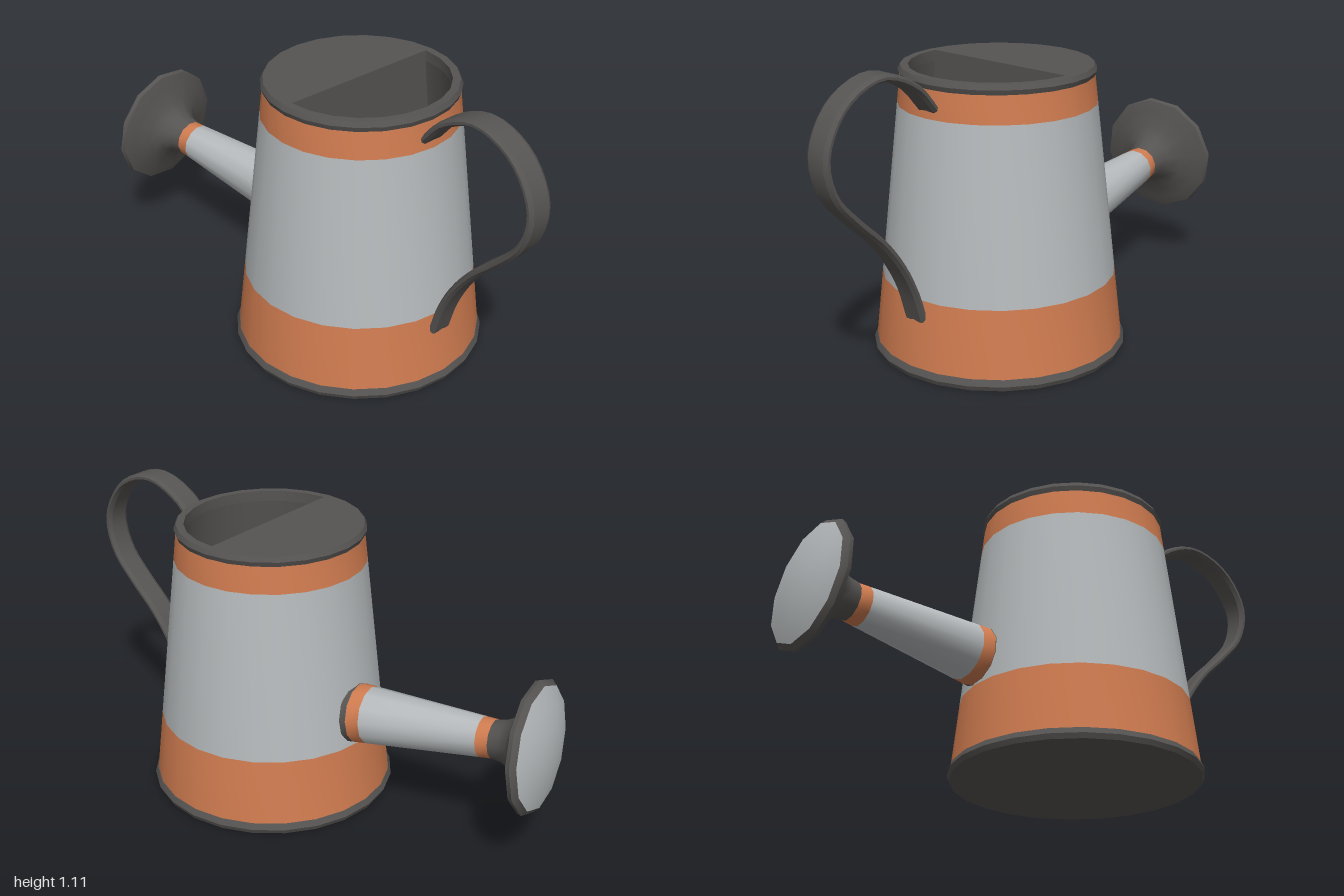
import * as THREE from 'three';
import { toCreasedNormals } from 'three/addons/utils/BufferGeometryUtils.js';

const material = (color) => new THREE.MeshStandardMaterial({ color, side: THREE.DoubleSide });
const ORANGE = material(0xd07c50);
const METAL = material(0xb6babc);
const DARK = material(0x565452);

const CREASE = 0.65;

function add(parent, name, geometry, mat) {
  const mesh = new THREE.Mesh(geometry, mat);
  mesh.name = name;
  parent.add(mesh);
  return mesh;
}

// Turned part: points are [radius, height], running upwards on the outside
function turned(points, sides) {
  const profile = points.map(([r, y]) => new THREE.Vector2(r, y));
  return toCreasedNormals(new THREE.LatheGeometry(profile, sides), CREASE);
}

function buildBody() {
  const body = new THREE.Group();
  body.name = 'body';
  body.position.x = 0.168;
  const SIDES = 24;
  const radiusAt = (y) => 0.454 - 0.108 * (y - 0.04) / 0.97;

  // Tapered wall in painted bands
  const bands = [
    ['lowerBand', 0.03, 0.285, ORANGE],
    ['middleWall', 0.285, 0.915, METAL],
    ['upperBand', 0.915, 1.015, ORANGE],
  ];
  for (const [name, y0, y1, mat] of bands) {
    add(body, name, turned([[radiusAt(y0), y0], [radiusAt(y1), y1]], SIDES), mat);
  }

  // Base with its foot ring, and the rim at the mouth
  add(body, 'base', turned([[0, 0], [0.458, 0], [0.466, 0.018], [0.456, 0.04], [0.44, 0.04], [0, 0.04]], SIDES), DARK);
  add(body, 'rim', turned([[0.315, 1.01], [0.344, 1.01], [0.352, 1.032], [0.343, 1.05], [0.315, 1.05], [0.315, 1.01]], SIDES), DARK);

  // Inner wall, facing inwards
  add(body, 'innerWall', turned([[0.315, 1.012], [0.43, 0.04]], SIDES), DARK);

  // Half lid over the spout side, with the partition below its straight edge
  const lid = add(body, 'halfLid', new THREE.CylinderGeometry(0.318, 0.318, 0.02, SIDES / 2, 1, false, Math.PI, Math.PI), DARK);
  lid.position.y = 1.04;
  const wall = new THREE.Shape([[-0.43, 0.04], [0.43, 0.04], [0.315, 1.05], [-0.315, 1.05]].map(([x, y]) => new THREE.Vector2(x, y)));
  add(body, 'partition', new THREE.ShapeGeometry(wall).rotateY(Math.PI / 2), DARK);
  return body;
}

function buildSpout() {
  const spout = new THREE.Group();
  spout.name = 'spout';
  const axis = new THREE.Vector3(-0.7, 0.068, 0.092).normalize();
  spout.position.set(-0.24, 0.398, 0);
  spout.quaternion.setFromUnitVectors(new THREE.Vector3(0, 1, 0), axis);
  const SIDES = 12;
  const radiusAt = (t) => 0.111 - 0.041 * t / 0.545;

  // Tapered pipe in painted bands
  const bands = [
    ['spoutCollar', -0.015, 0.008, DARK],
    ['spoutLowerBand', 0.008, 0.058, ORANGE],
    ['spoutPipe', 0.058, 0.5, METAL],
    ['spoutUpperBand', 0.5, 0.545, ORANGE],
  ];
  for (const [name, t0, t1, mat] of bands) {
    add(spout, name, turned([[radiusAt(t0), t0], [radiusAt(t1), t1]], SIDES), mat);
  }

  // Flared sprinkler head and its domed face
  add(spout, 'sprinklerHead', turned([
    [0.07, 0.545], [0.076, 0.585], [0.094, 0.622], [0.135, 0.65],
    [0.195, 0.668], [0.236, 0.684], [0.241, 0.7], [0.222, 0.718],
  ], SIDES), DARK);
  add(spout, 'sprinklerFace', turned([[0.222, 0.718], [0.16, 0.738], [0.08, 0.752], [0, 0.757]], SIDES), METAL);
  return spout;
}

function buildHandle() {
  // Flat strap with chamfered edges swept along a looping curve
  const path = new THREE.CatmullRomCurve3([
    [0.505, 0.945], [0.595, 1.04], [0.735, 1.096], [0.865, 1.057], [0.945, 0.975], [0.983, 0.865],
    [0.95, 0.74], [0.862, 0.638], [0.757, 0.537], [0.677, 0.43], [0.622, 0.32], [0.588, 0.21],
  ].map(([x, y]) => new THREE.Vector3(x, y, 0)));
  const w = 0.051, t = 0.014, c = 0.015;
  const section = new THREE.Shape([
    [-w, -t / 3], [-w + c, -t], [w - c, -t], [w, -t / 3],
    [w, t / 3], [w - c, t], [-w + c, t], [-w, t / 3],
  ].map(([x, y]) => new THREE.Vector2(x, y)));
  const strap = new THREE.ExtrudeGeometry(section, { steps: 36, extrudePath: path, bevelEnabled: false });
  return toCreasedNormals(strap, 0.5);
}

export function createModel() {
  const model = new THREE.Group();
  model.name = 'wateringCan';
  model.add(buildBody(), buildSpout());
  add(model, 'handle', buildHandle(), DARK);
  return model;
}
